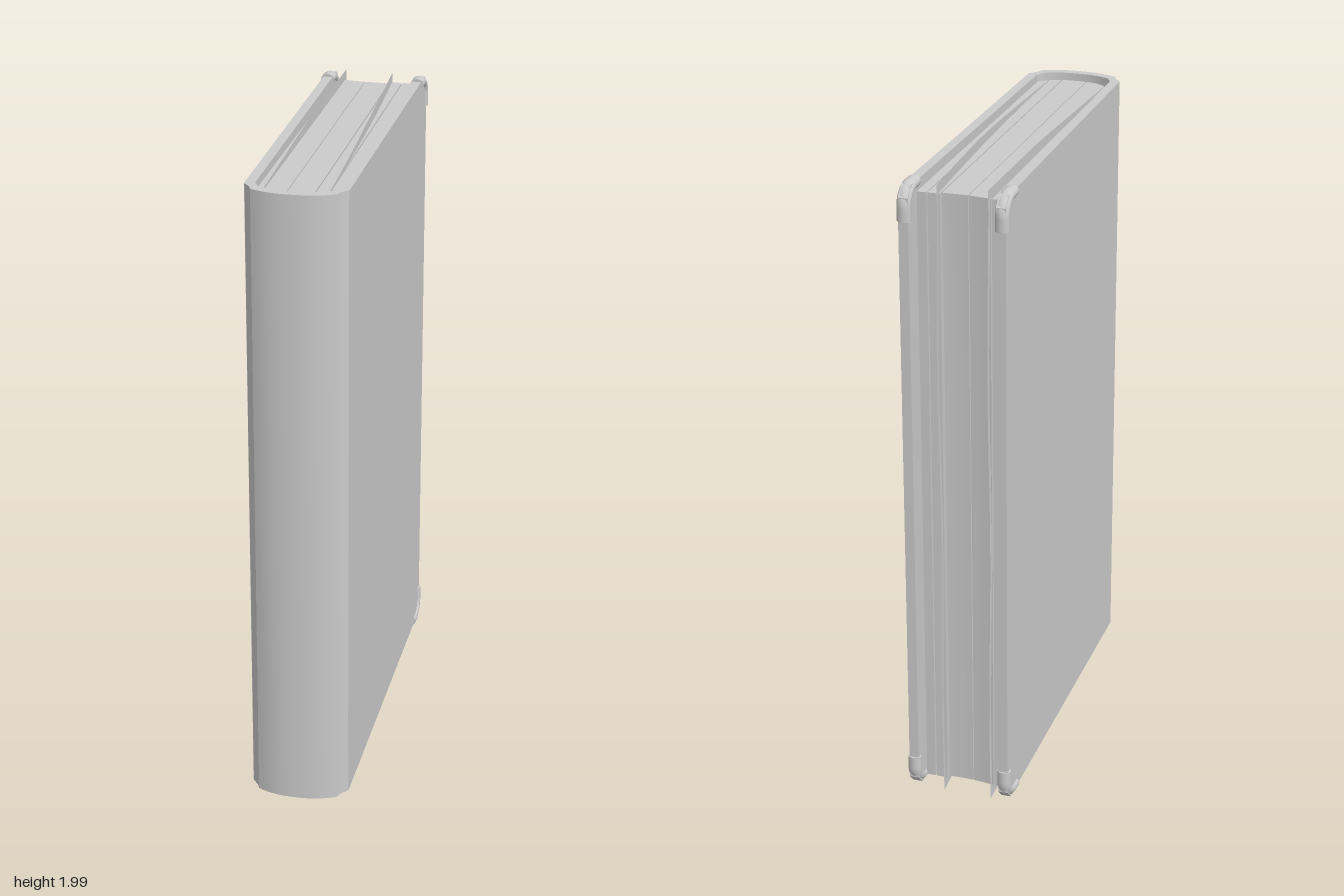
import * as THREE from 'three';
import { toCreasedNormals } from 'three/addons/utils/BufferGeometryUtils.js';

const grey = new THREE.MeshStandardMaterial({ color: 0xcccccc });
const thin = new THREE.MeshStandardMaterial({ color: 0xcccccc, side: THREE.DoubleSide });
const BOTTOM = 0.025, TOP = 1.99;

function add(parent, name, geometry, material = grey) {
  const mesh = new THREE.Mesh(geometry, material);
  mesh.name = name;
  parent.add(mesh);
  return mesh;
}

// Extrudes a plan outline of [x, z] points upwards from y0 to y1
function upright(points, y0, y1) {
  const shape = new THREE.Shape(points.map(([x, z]) => new THREE.Vector2(x, -z)));
  const geo = new THREE.ExtrudeGeometry(shape, { depth: y1 - y0, bevelEnabled: false });
  geo.rotateX(-Math.PI / 2).translate(0, y0, 0);
  return toCreasedNormals(geo, 0.5);
}

// Cover board with clipped rear corners, leaning slightly outward to the rear
function board(side) {
  const c = 0.03, back = -0.633;
  const shape = new THREE.Shape([
    [0.57, BOTTOM], [0.57, TOP], [back + c, TOP], [back, TOP - c], [back, BOTTOM + c], [back + c, BOTTOM],
  ].map(([z, y]) => new THREE.Vector2(z, y)));
  const geo = new THREE.ExtrudeGeometry(shape, { depth: 0.03, bevelEnabled: false });
  geo.translate(0, 0, -0.015).rotateY(-Math.PI / 2);
  const p = geo.attributes.position;
  for (let i = 0; i < p.count; i++) p.setX(i, p.getX(i) + side * (0.141 - 0.0066 * p.getZ(i)));
  geo.computeVertexNormals();
  return geo;
}

// Rounded spine shell with a small joint groove at each board
function spine() {
  const half = [[0.152, 0.56], [0.151, 0.572], [0.132, 0.595], [0.124, 0.615]];
  const mirror = (list) => list.map(([x, z]) => [-x, z]).reverse();
  const arc = (x, z, rise) => Array.from({ length: 15 }, (_, i) => {
    const t = 1 - (2 * (i + 1)) / 16;
    return [x * t, z + rise * (1 - Math.abs(t) ** 2.4)];
  });
  const outer = [...half, ...arc(0.124, 0.615, 0.029), ...mirror(half)];
  const side = [[0.122, 0.56], [0.108, 0.588]];
  const inner = [...side, ...arc(0.108, 0.588, 0.026), ...mirror(side)];
  return upright([...outer, ...inner.reverse()], BOTTOM, TOP);
}

// A bundle of pages: hollow fore-edge, rounded at the spine
function section(x0, x1, y0, y1, rear) {
  const n = 6, front = [], back = [];
  for (let i = 0; i <= n; i++) {
    const x = x0 + ((x1 - x0) * i) / n;
    front.push([x, 0.605 - 0.05 * (Math.abs(x) / 0.12) ** 3]);
    back.push([x, rear(x)]);
  }
  return upright([...front, ...back.reverse()], y0, y1);
}

// Loose leaf, splayed a little at the rear, with a gentle wave along its edge
function leaf(x, splay) {
  const geo = new THREE.PlaneGeometry(1, 1, 8, 20);
  const p = geo.attributes.position;
  for (let i = 0; i < p.count; i++) {
    const u = p.getX(i) + 0.5, v = p.getY(i) + 0.5;
    const low = 0.04 - 0.034 * u, high = 1.97 + 0.028 * Math.min(1, u * 1.7);
    p.setXYZ(i, x + splay * u * u + 0.003 * u * Math.sin(v * 11),
      low + (high - low) * v, 0.56 - 1.163 * u);
  }
  geo.computeVertexNormals();
  return geo;
}

// Bent metal guard wrapping one rear corner of a board
function cornerGuard(name, side, top) {
  const group = new THREE.Group();
  group.name = name;
  const r = 0.018, dir = top ? 1 : -1, edge = top ? 1.981 : 0.036, end = edge - dir * 0.092;
  const z = -0.622, b = 0.05;
  const path = new THREE.CurvePath();
  const v = (y, zz) => new THREE.Vector3(0, y, zz);
  path.add(new THREE.LineCurve3(v(end, z), v(edge - dir * b, z)));
  path.add(new THREE.QuadraticBezierCurve3(v(edge - dir * b, z), v(edge - dir * 0.008, z + 0.004), v(edge, z + b)));
  path.add(new THREE.LineCurve3(v(edge, z + b), v(edge, -0.535)));
  add(group, 'guardTube', new THREE.TubeGeometry(path, 24, r, 14));
  add(group, 'guardEnd', new THREE.CircleGeometry(r, 14).rotateX(Math.PI / 2).translate(0, end, z), thin);
  add(group, 'guardEnd', new THREE.CircleGeometry(r, 14).translate(0, edge, -0.535), thin);
  group.position.x = side * 0.146;
  group.scale.x = 1.2;
  return group;
}

export function createModel() {
  const book = new THREE.Group();
  book.name = 'book';

  // Hard cover
  add(book, 'leftCover', board(1));
  add(book, 'rightCover', board(-1));
  add(book, 'spine', spine());

  // Page bundles, separated by narrow cracks
  const hollow = (x) => -0.576 - 0.9 * (x - 0.01) ** 2;
  const flat = () => -0.588;
  const bundles = [
    [-0.121, -0.104, flat], [-0.099, -0.033, hollow], [-0.03, 0.047, hollow],
    [0.051, 0.087, flat], [0.091, 0.119, flat],
  ];
  for (const [x0, x1, rear] of bundles) add(book, 'pages', section(x0, x1, 0.045, 1.968, rear));

  // Loose leaves standing slightly proud of the pages
  add(book, 'rightLooseLeaf', leaf(-0.1015, 0.006), thin);
  add(book, 'leftLooseLeaf', leaf(0.089, -0.032), thin);

  // Corner guards
  for (const side of [1, -1]) {
    for (const top of [true, false]) {
      book.add(cornerGuard(`${top ? 'upper' : 'lower'}${side > 0 ? 'Left' : 'Right'}Guard`, side, top));
    }
  }
  return book;
}
